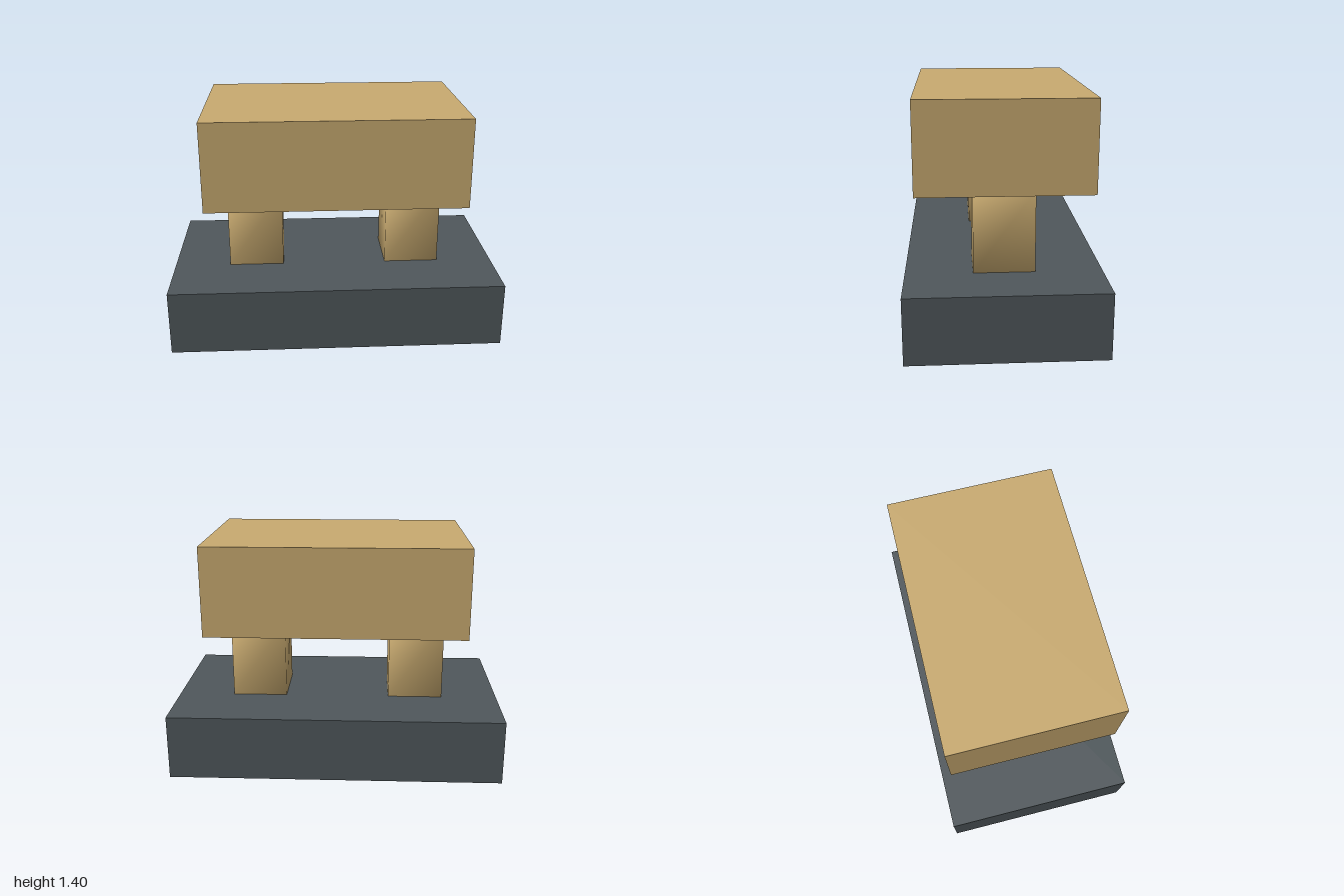
import * as THREE from 'three';
import { mergeVertices } from 'three/addons/utils/BufferGeometryUtils.js';

export function createModel() {
  const model = new THREE.Group();
  model.name = 'pedestalBlock';

  const tan = new THREE.MeshStandardMaterial({ color: 0xc8aa70 });
  tan.name = 'tan';
  const slate = new THREE.MeshStandardMaterial({ color: 0x4f575b });
  slate.name = 'slate';

  // Places a geometry with its underside at height y
  function addPart(name, geometry, material, x, y, height) {
    const mesh = new THREE.Mesh(geometry, material);
    mesh.name = name;
    mesh.position.set(x, y + height / 2, 0);
    model.add(mesh);
  }

  // Box with shared corners, so its normals blend across the edges
  function smoothBox(w, h, d) {
    const box = new THREE.BoxGeometry(w, h, d);
    box.deleteAttribute('normal');
    box.deleteAttribute('uv');
    const welded = mergeVertices(box);
    welded.clearGroups();
    welded.computeVertexNormals();
    return welded;
  }

  // Plinth
  addPart('base', new THREE.BoxGeometry(2, 0.39, 1.134), slate, 0, 0, 0.39);

  // Pair of posts
  for (const [name, side] of [['leftPost', 1], ['rightPost', -1]]) {
    addPart(name, smoothBox(0.335, 0.48, 0.356), tan, side * 0.489, 0.39, 0.48);
  }

  // Top block
  addPart('topBlock', new THREE.BoxGeometry(1.536, 0.53, 1), tan, 0, 0.87, 0.53);

  return model;
}
